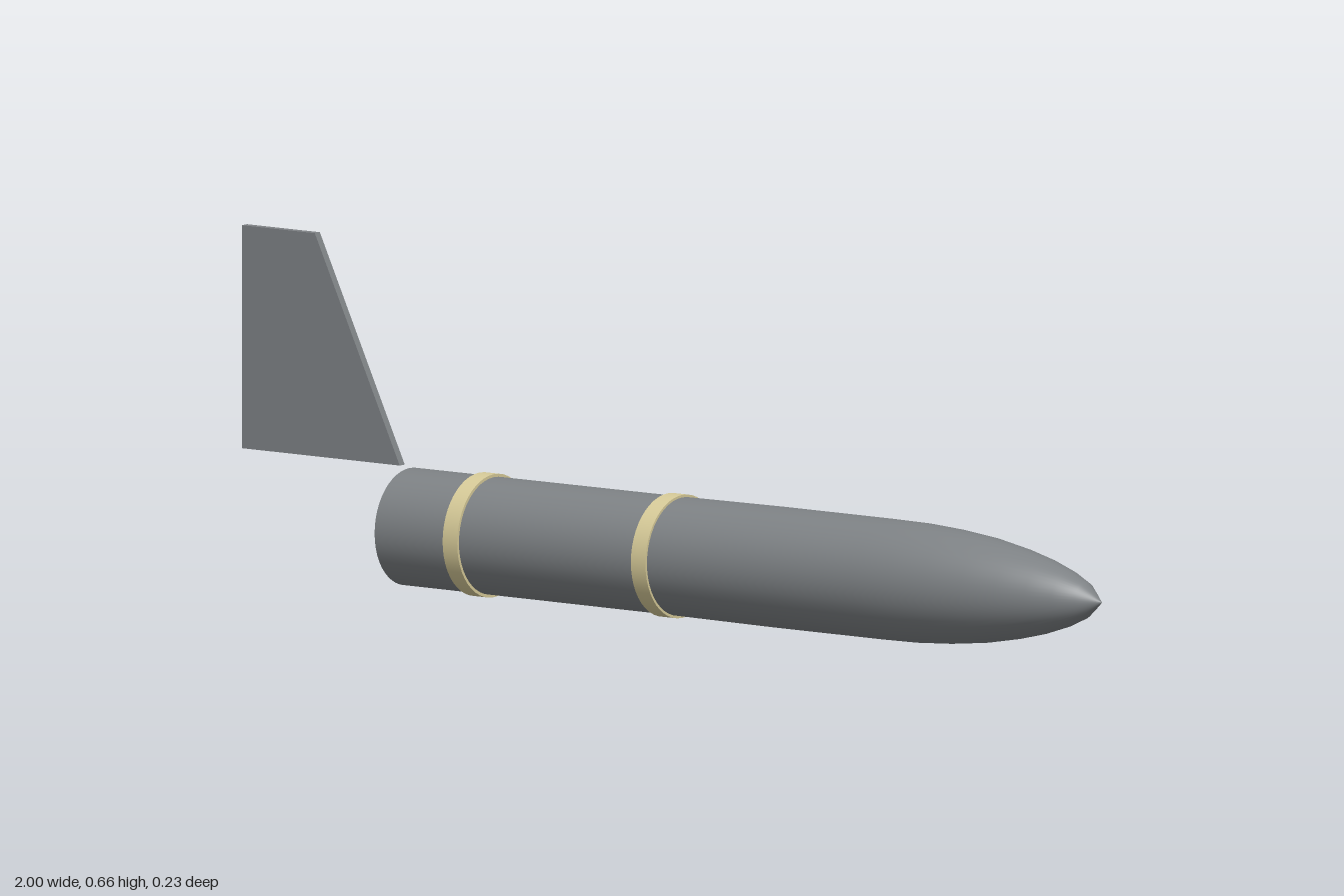
import * as THREE from 'three';

export function createModel() {
  const model = new THREE.Group();
  const grey = new THREE.MeshStandardMaterial({ color: 0x7d8184 });
  grey.name = 'gunmetal grey';
  const cream = new THREE.MeshStandardMaterial({ color: 0xd6ca98 });
  cream.name = 'cream';
  const axisY = 0.118;
  const tailX = -0.615;

  const add = (name, geometry, material) => {
    const mesh = new THREE.Mesh(geometry, material);
    mesh.name = name;
    model.add(mesh);
    return mesh;
  };
  // Turns an [x, radius] profile around the long axis of the body
  const turned = (profile) => new THREE.LatheGeometry(
    profile.map(([x, r]) => new THREE.Vector2(r, x)), 48,
  ).rotateZ(-Math.PI / 2).translate(0, axisY, 0);

  // Cylindrical body running into an ogive nose with a small conical tip
  add('body', turned([
    [tailX, 0.111], [0, 0.112], [0.25, 0.114], [0.5, 0.114], [0.58, 0.113],
    [0.66, 0.108], [0.74, 0.099], [0.81, 0.086], [0.87, 0.071],
    [0.92, 0.054], [0.96, 0.035], [0.98, 0.018], [1, 0],
  ]), grey);

  // Flat tail plate
  add('tailCap', new THREE.CircleGeometry(0.111, 48)
    .rotateY(-Math.PI / 2).translate(tailX, axisY, 0), grey);

  // Raised bands
  for (const [name, x] of [['rearBand', -0.435], ['middleBand', 0.004]]) {
    add(name, new THREE.CylinderGeometry(0.117, 0.117, 0.034, 48)
      .rotateZ(Math.PI / 2).translate(x, axisY, 0), cream);
  }

  // Upright swept fin behind the body
  const outline = new THREE.Shape([
    new THREE.Vector2(-1, 0.233), new THREE.Vector2(-0.632, 0.233),
    new THREE.Vector2(-0.83, 0.657), new THREE.Vector2(-1, 0.657),
  ]);
  add('tailFin', new THREE.ExtrudeGeometry(outline, { depth: 0.016, bevelEnabled: false })
    .translate(0, 0, -0.008), grey);

  return model;
}
